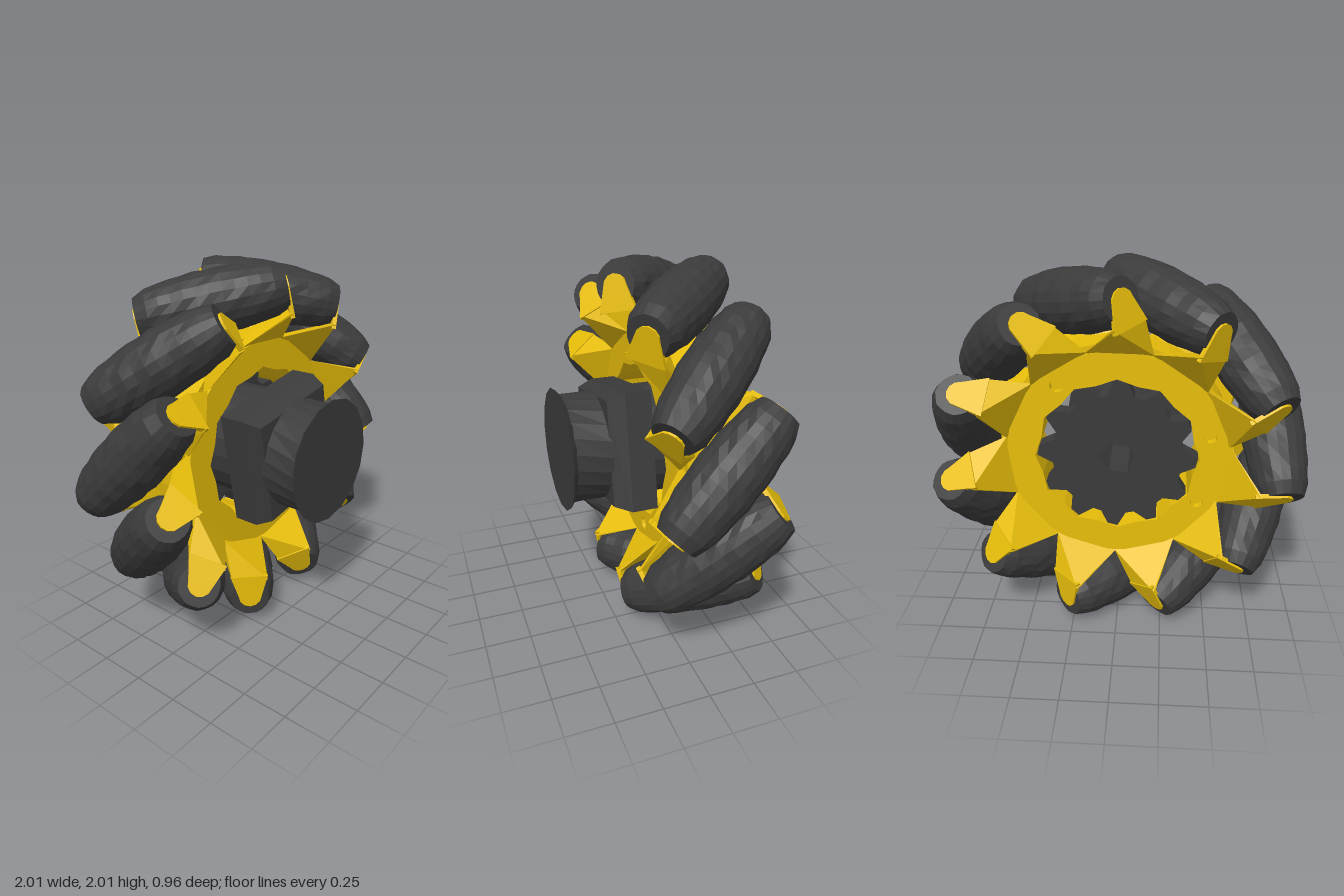
import * as THREE from 'three';
import { ConvexGeometry } from 'three/addons/geometries/ConvexGeometry.js';

const COUNT = 11; // rollers round the wheel
const TAU = Math.PI * 2;
const RAD = Math.PI / 180;

export function createModel() {
  const yellow = new THREE.MeshStandardMaterial({ color: 0xeac00a, flatShading: true });
  yellow.name = 'yellow plastic';
  const dark = new THREE.MeshStandardMaterial({ color: 0x3b3b3c, flatShading: true });
  dark.name = 'dark rubber';

  const model = new THREE.Group();
  model.name = 'omniWheel';
  const wheel = new THREE.Group();
  wheel.name = 'wheel';
  wheel.position.set(0, 1, -0.125);
  model.add(wheel);

  function add(parent, name, geometry, material) {
    const mesh = new THREE.Mesh(geometry, material);
    mesh.name = name;
    parent.add(mesh);
    return mesh;
  }
  const polar = (angle, r) => new THREE.Vector2(Math.cos(angle) * r, Math.sin(angle) * r);
  // closed outline that steps through the given radii again and again
  function ringOutline(points, ...radii) {
    const list = [];
    for (let i = 0; i < points; i++) list.push(polar((i / points) * TAU, radii[i % radii.length]));
    return list;
  }
  function slab(outline, holes, z0, z1) {
    const shape = new THREE.Shape(outline);
    holes.forEach((h) => shape.holes.push(new THREE.Path(h)));
    const g = new THREE.ExtrudeGeometry(shape, { depth: z1 - z0, bevelEnabled: false });
    return g.translate(0, 0, z0);
  }
  // cylinder along z from z0 (radius r0) to z1 (radius r1)
  function drum(r0, r1, z0, z1, sides) {
    const g = new THREE.CylinderGeometry(r1, r0, z1 - z0, sides);
    return g.rotateX(Math.PI / 2).translate(0, 0, (z0 + z1) / 2);
  }

  // Rim: a core ring between two face plates with blind screw holes
  const inner = ringOutline(24, 0.44, 0.415);
  const screwHole = (deg) => {
    const c = polar(deg * RAD, 0.505);
    return ringOutline(10, 0.036).map((p) => p.add(c));
  };
  add(wheel, 'rimCore', slab(ringOutline(44, 0.62), [inner], -0.11, 0.11), yellow);
  add(wheel, 'frontRimPlate',
    slab(ringOutline(44, 0.59), [inner, screwHole(283)], 0.11, 0.15), yellow);
  add(wheel, 'backRimPlate',
    slab(ringOutline(44, 0.59), [inner, ...[52, 165, 211].map(screwHole)], -0.15, -0.11), yellow);

  // Barrel roller: its profile follows the round outline of the tilted wheel
  const half = 0.388, centre = 0.835;
  const profile = [new THREE.Vector2(0, -half + 0.03), new THREE.Vector2(0.05, -half)];
  for (let i = 0; i <= 12; i++) {
    const s = -half + (i / 12) * 2 * half;
    const round = i === 0 || i === 12 ? 0.01 : -0.006;
    profile.push(new THREE.Vector2(1 - Math.hypot(centre, s * Math.SQRT1_2) - round, s));
  }
  profile.push(new THREE.Vector2(0.05, half), new THREE.Vector2(0, half - 0.03));
  const rollerGeo = new THREE.LatheGeometry(profile, 20);
  // slightly rumpled rubber
  const pos = rollerGeo.attributes.position;
  for (let i = 0; i < pos.count; i++) {
    const x = pos.getX(i), y = pos.getY(i), z = pos.getZ(i);
    const k = 0.985 + 0.022 * Math.sin(x * 91 + y * 157 + z * 73);
    pos.setXYZ(i, x * k, y, z * k);
  }
  rollerGeo.computeVertexNormals();

  // Bracket plate across a roller end, rounded at the tip (x outward, y across)
  const outline = [new THREE.Vector2(-0.14, -0.11)];
  for (let i = 0; i <= 6; i++) {
    outline.push(polar((-90 + i * 30) * RAD, 0.065).add(new THREE.Vector2(-0.01, 0)));
  }
  outline.push(new THREE.Vector2(-0.14, 0.1));
  const plateGeo = slab(outline, [], half - 0.012, half + 0.012);
  plateGeo.rotateX(Math.PI / 4).translate(centre, 0, 0);

  // Wedge foot from the plate down to the rim
  const footPoints = [];
  for (const side of [-1, 1]) {
    for (const depth of [half - 0.012, half + 0.012]) {
      footPoints.push(new THREE.Vector3(-0.115, side * 0.1, depth)
        .applyAxisAngle(new THREE.Vector3(1, 0, 0), Math.PI / 4)
        .add(new THREE.Vector3(centre, 0, 0)));
    }
    const tabAngle = -17.6 * RAD;
    const front = polar(tabAngle + side * 17 * RAD, 0.595);
    const back = polar(tabAngle + side * 11 * RAD, 0.61);
    footPoints.push(new THREE.Vector3(front.x, front.y, 0.14));
    footPoints.push(new THREE.Vector3(back.x, back.y, 0.06));
  }
  const footGeo = new ConvexGeometry(footPoints);

  for (let i = 0; i < COUNT; i++) {
    const station = new THREE.Group();
    station.name = 'rollerStation';
    station.rotation.z = -Math.PI / 2 + (i / COUNT) * TAU;
    wheel.add(station);
    const roller = add(station, 'roller', rollerGeo, dark);
    roller.position.x = centre;
    roller.rotation.x = -Math.PI / 4;
    // the back bracket is the front one turned half round the spoke
    ['frontBracket', 'backBracket'].forEach((name, k) => {
      const bracket = new THREE.Group();
      bracket.name = name;
      bracket.rotation.x = k * Math.PI;
      add(bracket, 'bracketPlate', plateGeo, yellow);
      add(bracket, 'bracketFoot', footGeo, yellow);
      station.add(bracket);
    });
  }

  // Hub, along z in model space, with an axle bore open at the back
  const hub = new THREE.Group();
  hub.name = 'hub';
  hub.position.y = 1;
  model.add(hub);
  const bore = ringOutline(6, 0.11, 0.09);
  add(hub, 'toothedDisc',
    slab(ringOutline(48, 0.43, 0.42, 0.35, 0.35), [bore], -0.27, -0.18), dark);
  add(hub, 'hubBarrel', slab(ringOutline(20, 0.31), [bore], -0.18, 0.06), dark);
  const block = new THREE.Group();
  block.name = 'hubBlock';
  block.rotation.z = 10.5 * RAD;
  hub.add(block);
  const square = (r0, r1, z0, z1) => drum(r0, r1, z0, z1, 4).rotateZ(Math.PI / 4);
  add(block, 'blockBody', square(0.45, 0.45, 0.04, 0.18), dark);
  add(block, 'blockChamfer', square(0.45, 0.4, 0.18, 0.27), dark);

  // Neck with triangular facets: its two ends are half a step apart
  const sides = 22;
  const neckGeo = new THREE.CylinderGeometry(0.3, 0.3, 0.2, sides, 1, true);
  const neckPos = neckGeo.attributes.position;
  const corner = new THREE.Vector3();
  const up = new THREE.Vector3(0, 1, 0);
  for (let i = 0; i <= sides; i++) {
    corner.fromBufferAttribute(neckPos, i).applyAxisAngle(up, Math.PI / sides);
    neckPos.setXYZ(i, corner.x, corner.y, corner.z);
  }
  neckGeo.rotateX(Math.PI / 2).translate(0, 0, 0.355);
  neckGeo.computeVertexNormals();
  add(hub, 'facetedNeck', neckGeo, dark);
  add(hub, 'neckCap', drum(0.295, 0.34, 0.445, 0.48, 16), dark);

  return model;
}
